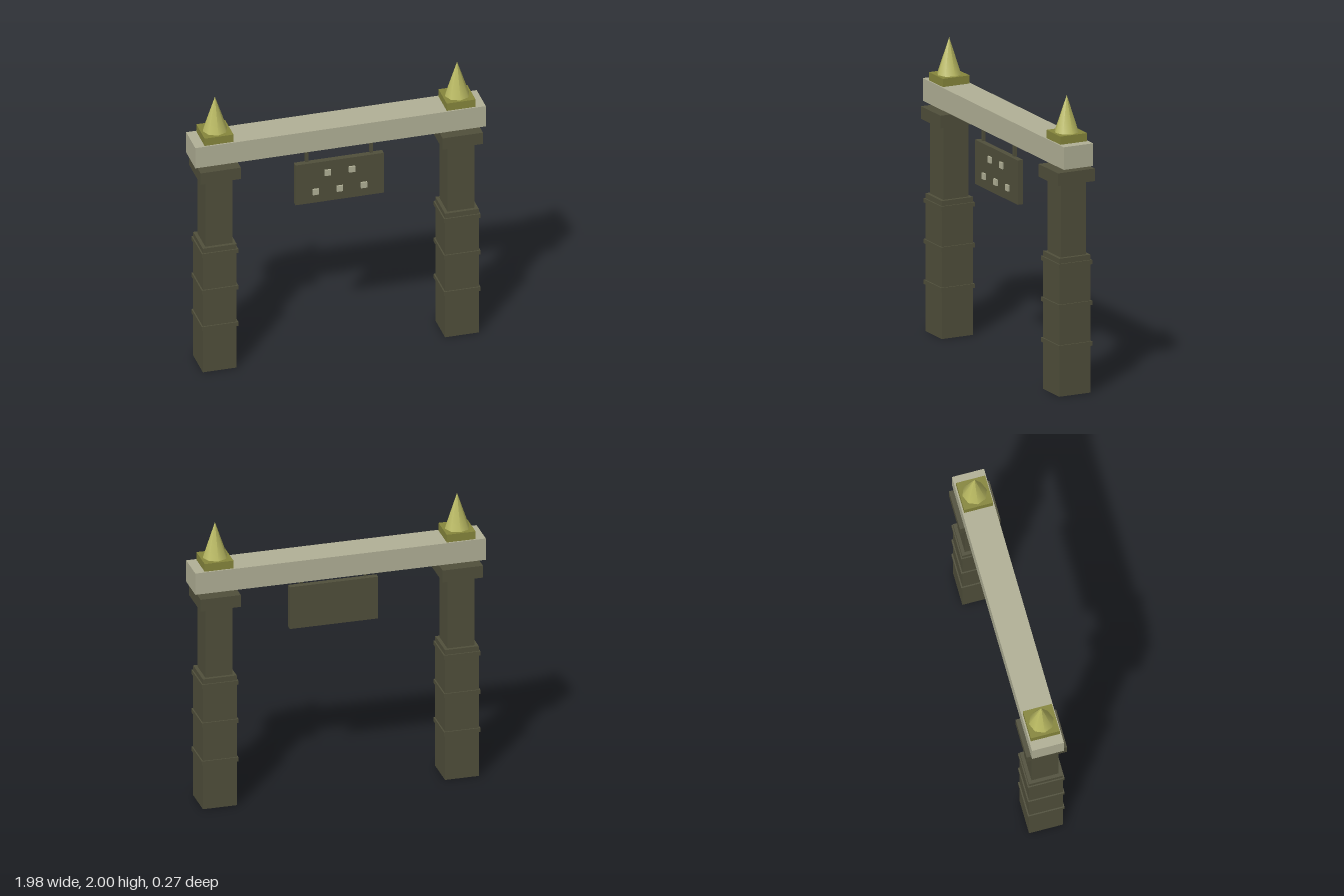
import * as THREE from 'three';

export function createModel() {
  const model = new THREE.Group();
  model.name = 'gateway';

  const material = (name, color) => {
    const m = new THREE.MeshStandardMaterial({ color });
    m.name = name;
    return m;
  };
  const darkStone = material('dark stone', 0x504f3b);
  const paleStone = material('pale stone', 0xb1b096);
  const oliveGold = material('olive gold', 0x86863c);
  const brightGold = material('bright gold', 0xbaba62);

  // Box given by its centre in x and z and its bottom and top heights
  const box = (parent, name, mat, w, d, y0, y1, x = 0, z = 0) => {
    const mesh = new THREE.Mesh(new THREE.BoxGeometry(w, y1 - y0, d), mat);
    mesh.position.set(x, (y0 + y1) / 2, z);
    mesh.name = name;
    parent.add(mesh);
  };

  // Pillars with bands, capital and finial
  for (const [side, sx] of [['left', 1], ['right', -1]]) {
    const pillar = new THREE.Group();
    pillar.name = side + 'Pillar';
    pillar.position.x = sx * 0.823;
    model.add(pillar);

    box(pillar, 'lowerShaft', darkStone, 0.23, 0.23, 0, 0.933);
    for (const y of [0.333, 0.608, 0.884]) {
      box(pillar, 'band', darkStone, 0.248, 0.248, y - 0.0145, y + 0.0145);
    }
    box(pillar, 'upperShaft', darkStone, 0.184, 0.184, 0.933, 1.433);
    box(pillar, 'capital', darkStone, 0.274, 0.274, 1.433, 1.518);

    box(pillar, 'finialBase', oliveGold, 0.196, 0.196, 1.698, 1.753);
    const spire = new THREE.Mesh(new THREE.ConeGeometry(0.083, 0.247, 8), brightGold);
    spire.position.y = 1.753 + 0.1235;
    spire.name = 'finialSpire';
    pillar.add(spire);
  }

  // Crossbeam, floating just above the capitals
  box(model, 'crossbeam', paleStone, 1.975, 0.217, 1.545, 1.698);

  // Hanging sign with two hangers and five square studs on its front
  const sign = new THREE.Group();
  sign.name = 'hangingSign';
  sign.position.z = 0.066;
  model.add(sign);
  box(sign, 'signBoard', darkStone, 0.6, 0.04, 1.143, 1.443);
  for (const sx of [-1, 1]) {
    box(sign, 'hanger', darkStone, 0.021, 0.021, 1.452, 1.55, sx * 0.219);
  }
  const studs = [[-0.082, 1.359], [0.082, 1.359], [-0.164, 1.227], [0, 1.227], [0.164, 1.227]];
  for (const [x, y] of studs) {
    box(sign, 'stud', paleStone, 0.042, 0.014, y - 0.021, y + 0.021, x, 0.025);
  }

  return model;
}
